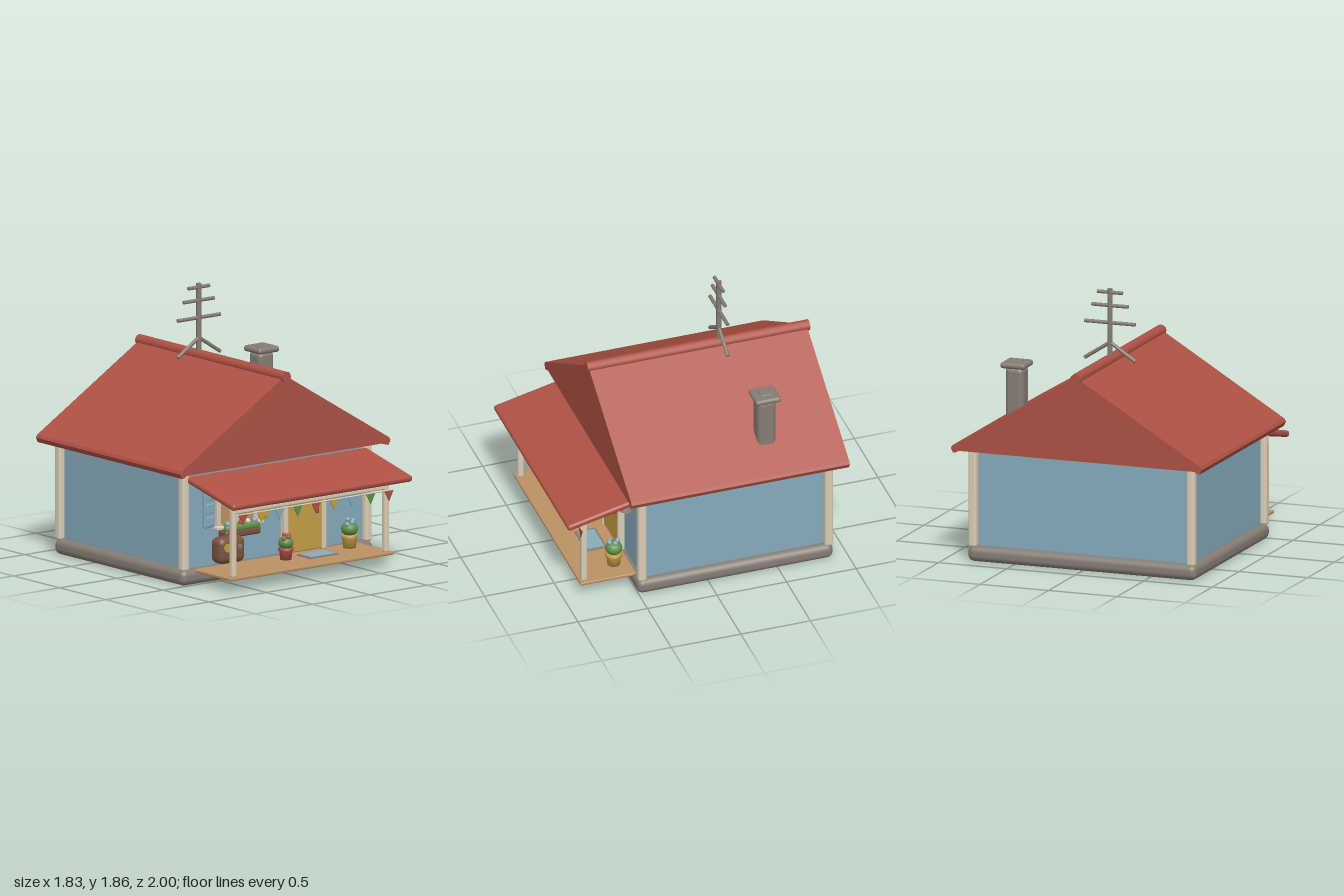
import * as THREE from 'three';
import { RoundedBoxGeometry } from 'three/addons/geometries/RoundedBoxGeometry.js';

export function createModel() {
  const house = new THREE.Group();
  house.name = 'cottage';

  const mat = (name, color) => {
    const m = new THREE.MeshStandardMaterial({ color });
    m.name = name;
    return m;
  };
  const red = mat('roofRed', 0xae5144);
  const blue = mat('wallBlue', 0x86aabb);
  const cream = mat('trimCream', 0xd9cdb6);
  const stone = mat('stoneGrey', 0x857d73);
  const yellow = mat('doorYellow', 0xc69d45);
  const green = mat('leafGreen', 0x5f9048);
  const brown = mat('woodBrown', 0x7a5240);
  const tan = mat('deckTan', 0xbd9063);
  const flagRed = red;

  const add = (name, geo, material, x = 0, y = 0, z = 0, parent = house) => {
    const m = new THREE.Mesh(geo, material);
    m.name = name;
    m.position.set(x, y, z);
    parent.add(m);
    return m;
  };
  // Rounded box given by its limits on each axis
  const block = (name, material, [x0, x1], [y0, y1], [z0, z1], r = 0.01, parent = house) =>
    add(name, new RoundedBoxGeometry(x1 - x0, y1 - y0, z1 - z0, 3, r), material,
      (x0 + x1) / 2, (y0 + y1) / 2, (z0 + z1) / 2, parent);
  // Straight prism along z
  const prism = (name, material, pts, z0, z1) => {
    const shape = new THREE.Shape(pts.map(p => new THREE.Vector2(...p)));
    return add(name, new THREE.ExtrudeGeometry(shape, { depth: z1 - z0, bevelEnabled: false }), material, 0, 0, z0);
  };
  // Round bar between two points
  const bar = (name, material, a, b, r, parent = house) => {
    const from = new THREE.Vector3(...a), to = new THREE.Vector3(...b);
    const dir = to.clone().sub(from);
    const m = add(name, new THREE.CylinderGeometry(r, r, dir.length(), 12), material, 0, 0, 0, parent);
    m.position.copy(from).add(to).multiplyScalar(0.5);
    m.quaternion.setFromUnitVectors(new THREE.Vector3(0, 1, 0), dir.normalize());
    return m;
  };
  const ball = (name, material, r, x, y, z, parent = house) =>
    add(name, new THREE.SphereGeometry(r, 14, 10), material, x, y, z, parent);

  // Foundation, walls and corner posts
  block('foundation', stone, [-0.835, 0.835], [0, 0.11], [-0.9, 0.51], 0.045);
  block('walls', blue, [-0.785, 0.785], [0.09, 0.81], [-0.855, 0.465], 0.025);
  prism('attic', blue, [[-0.78, 0.79], [0.78, 0.79], [0, 1.28]], -0.85, 0.46);
  for (const x of [-0.797, 0.797])
    for (const z of [-0.868, 0.473])
      block('cornerPost', cream, [x - 0.031, x + 0.031], [0.1, 0.82], [z - 0.031, z + 0.031], 0.02);

  // Main roof with closed gables and a round ridge
  prism('mainRoof', red, [[0, 1.372], [-0.905, 0.825], [-0.917, 0.805], [-0.9, 0.772], [-0.88, 0.776],
    [0, 1.31], [0.88, 0.776], [0.9, 0.772], [0.917, 0.805], [0.905, 0.825]], -0.983, 0.585);
  for (const z of [-0.98, 0.552])
    prism('gable', red, [[-0.87, 0.788], [0.87, 0.788], [0, 1.34]], z, z + 0.03);
  bar('ridge', red, [0, 1.363, -1], [0, 1.363, 0.598], 0.038);

  // Chimney
  block('chimney', stone, [0.57, 0.702], [0.9, 1.29], [-0.532, -0.4], 0.035);
  block('chimneyCap', stone, [0.547, 0.728], [1.283, 1.325], [-0.559, -0.376], 0.02);
  block('chimneyTop', stone, [0.595, 0.677], [1.3, 1.333], [-0.507, -0.425], 0.008);

  // Roof aerial
  const aerial = new THREE.Group();
  aerial.name = 'aerial';
  house.add(aerial);
  const az = -0.355;
  bar('mast', stone, [0, 1.36, az], [0, 1.86, az], 0.018, aerial);
  for (const [y, half] of [[1.622, 0.185], [1.742, 0.133], [1.834, 0.092]])
    bar('crossbar', stone, [-half, y, az], [half, y, az], 0.013, aerial);
  for (const s of [-1, 1])
    bar('strut', stone, [0, 1.485, az], [s * 0.185, 1.365, az], 0.013, aerial);

  // Porch: sloping roof, deck, posts and beam
  const awning = add('porchRoof', new RoundedBoxGeometry(1.57, 0.045, 0.53, 3, 0.02), red, 0, 0.677, 0.738);
  awning.rotation.x = 0.23;
  block('deck', tan, [-0.715, 0.712], [0.083, 0.105], [0.45, 0.88], 0.007);
  for (const x of [-0.666, 0.666])
    block('porchPost', cream, [x - 0.021, x + 0.021], [0.1, 0.585], [0.822, 0.866], 0.014);
  block('porchBeam', cream, [-0.685, 0.685], [0.538, 0.572], [0.828, 0.86], 0.01);

  // Bunting
  const pennant = new THREE.ExtrudeGeometry(
    new THREE.Shape([[-0.038, 0], [0, -0.072], [0.038, 0]].map(p => new THREE.Vector2(...p))),
    { depth: 0.006, bevelEnabled: false });
  const flagColours = [flagRed, yellow, blue, green];
  for (let i = 0; i < 9; i++)
    add('pennant', pennant, flagColours[i % 4], -0.597 + i * 0.159, 0.53, 0.866);
  bar('buntingString', cream, [-0.66, 0.532, 0.867], [0.7, 0.532, 0.867], 0.005);

  // Door with frame, handle and mat
  block('door', yellow, [0.085, 0.388], [0.11, 0.615], [0.45, 0.5], 0.008);
  for (const x of [0.07, 0.402])
    block('doorJamb', cream, [x - 0.018, x + 0.018], [0.105, 0.65], [0.45, 0.512], 0.008);
  block('doorLintel', cream, [0.052, 0.42], [0.615, 0.65], [0.45, 0.512], 0.008);
  block('doorHandle', brown, [0.333, 0.353], [0.36, 0.402], [0.495, 0.515], 0.007);
  block('doorMat', stone, [0.11, 0.36], [0.103, 0.114], [0.57, 0.72], 0.004);
  block('doorMatCentre', blue, [0.128, 0.342], [0.11, 0.118], [0.585, 0.705], 0.003);

  // Window with frame, glazing bars and shutters
  block('windowPane', tan, [-0.51, -0.18], [0.38, 0.65], [0.45, 0.478], 0.005);
  for (const x of [-0.508, -0.345, -0.18]) {
    const w = x === -0.345 ? 0.007 : 0.016;
    block('windowBar', cream, [x - w, x + w], [0.37, 0.66], [0.45, 0.5], 0.006);
  }
  block('windowHead', cream, [-0.525, -0.165], [0.64, 0.67], [0.45, 0.5], 0.006);
  block('windowCrossbar', cream, [-0.51, -0.18], [0.53, 0.544], [0.45, 0.49], 0.005);
  block('windowSill', cream, [-0.545, -0.14], [0.355, 0.38], [0.45, 0.53], 0.008);
  for (const [x, colour] of [[-0.58, blue], [-0.113, yellow]]) {
    block('shutter', colour, [x - 0.047, x + 0.047], [0.375, 0.66], [0.45, 0.488], 0.008);
    for (const y of [0.42, 0.51, 0.6])
      block('shutterPanel', colour, [x - 0.032, x + 0.032], [y - 0.033, y + 0.033], [0.47, 0.496], 0.006);
  }

  // Flower box
  block('flowerBox', brown, [-0.5, -0.19], [0.297, 0.35], [0.47, 0.565], 0.018);
  block('flowerBoxLeaves', green, [-0.495, -0.195], [0.335, 0.385], [0.485, 0.565], 0.022);
  [blue, yellow, red, cream, blue].forEach((c, i) =>
    ball('flower', c, 0.02, -0.465 + i * 0.059, 0.392, 0.535));

  // Wall-side travel trunk with two round stickers
  block('trunk', brown, [-0.645, -0.417], [0.152, 0.335], [0.56, 0.685], 0.045);
  for (const [c, x, r] of [[yellow, -0.585, 0.03], [stone, -0.48, 0.018]])
    add('trunkSticker', new THREE.CylinderGeometry(r, r, 0.009, 18), c, x, 0.268, 0.687).rotation.x = Math.PI / 2;

  // Potted plants
  const plant = (x, z, s, potColour, berryColour) => {
    const g = new THREE.Group();
    g.name = 'pottedPlant';
    g.position.set(x, 0.105, z);
    g.scale.setScalar(s);
    house.add(g);
    const profile = [[0, 0], [0.043, 0], [0.05, 0.066], [0.058, 0.068], [0.058, 0.092], [0.045, 0.092], [0, 0.085]];
    add('pot', new THREE.LatheGeometry(profile.map(p => new THREE.Vector2(...p)), 20).toNonIndexed(), potColour, 0, 0, 0, g);
    ball('leaves', green, 0.058, 0, 0.13, 0, g).scale.y = 0.85;
    for (const [bx, by, bz] of [[-0.035, 0.165, 0.02], [0, 0.176, 0.03], [0.03, 0.182, 0], [0.005, 0.186, -0.025]])
      ball('berry', berryColour, 0.017, bx, by, bz, g);
  };
  plant(0.555, 0.59, 1.02, yellow, blue);
  plant(-0.025, 0.62, 0.9, red, red);

  // Porch lamp
  const lamp = new THREE.Group();
  lamp.name = 'porchLamp';
  lamp.position.set(0.63, 0, 0.53);
  house.add(lamp);
  add('lampShade', new THREE.CylinderGeometry(0.022, 0.05, 0.075, 18), stone, 0, 0.622, 0, lamp);
  ball('lampBulb', cream, 0.022, 0, 0.583, 0, lamp);
  bar('lampArm', stone, [0, 0.67, -0.08], [0, 0.67, 0], 0.012, lamp);
  return house;
}
